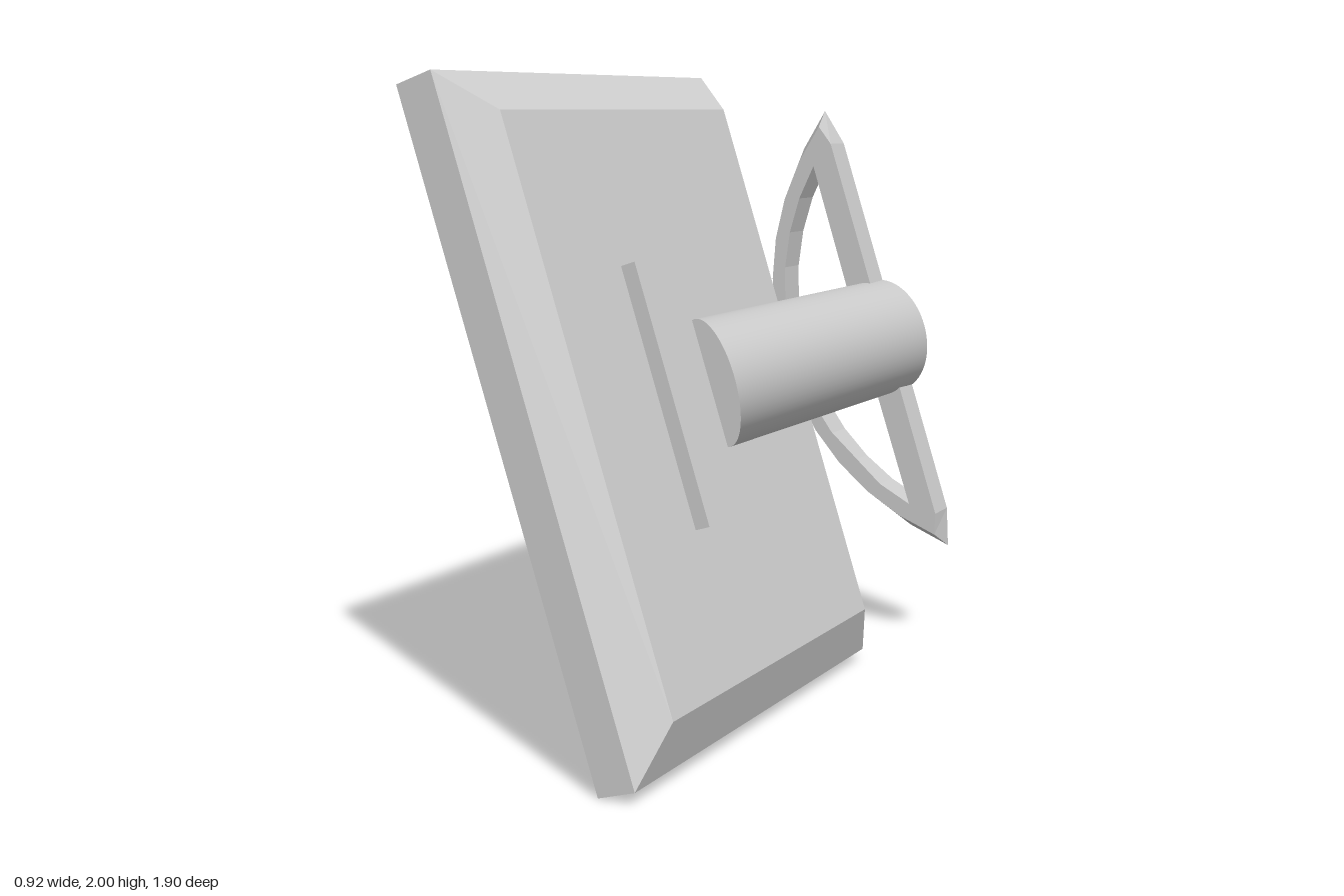
import * as THREE from 'three';

const material = new THREE.MeshStandardMaterial({ color: 0xcccccc });

// Everything is built upright (screen facing -x) and then tilted as a whole.
const TILT = THREE.MathUtils.degToRad(18.2);

function addMesh(parent, name, geometry) {
  const mesh = new THREE.Mesh(geometry, material);
  mesh.name = name;
  parent.add(mesh);
  return mesh;
}

function addBox(parent, name, [x0, x1], [y0, y1], [z0, z1]) {
  const mesh = addMesh(parent, name, new THREE.BoxGeometry(x1 - x0, y1 - y0, z1 - z0));
  mesh.position.set((x0 + x1) / 2, (y0 + y1) / 2, (z0 + z1) / 2);
}

// Skins a run of rectangles [x, y0, y1, z0, z1] and caps both ends.
function loftRectangles(rects) {
  const rings = rects.map(([x, y0, y1, z0, z1]) =>
    [[x, y0, z0], [x, y1, z0], [x, y1, z1], [x, y0, z1]]);
  const points = [];
  const quad = (a, b, c, d) => points.push(...a, ...b, ...c, ...a, ...c, ...d);
  for (let i = 0; i < rings.length - 1; i++) {
    for (let j = 0; j < 4; j++) {
      const k = (j + 1) % 4;
      quad(rings[i][j], rings[i][k], rings[i + 1][k], rings[i + 1][j]);
    }
  }
  quad(...[...rings[0]].reverse());
  quad(...rings[rings.length - 1]);
  const geometry = new THREE.BufferGeometry();
  geometry.setAttribute('position', new THREE.Float32BufferAttribute(points, 3));
  geometry.computeVertexNormals();
  return geometry;
}

// Points on a circular arc that bulges towards -x.
function arcPoints(centreX, radius, from, to, steps) {
  const a = Math.asin(from / radius), b = Math.asin(to / radius);
  return Array.from({ length: steps + 1 }, (_, i) => {
    const t = a + (b - a) * i / steps;
    return new THREE.Vector2(centreX - radius * Math.cos(t), radius * Math.sin(t));
  });
}

// D-shaped wall bracket with two windows and a flared outer rim.
function bracketGeometry() {
  const centreX = 1.1205, radius = 1.0005;
  const shape = new THREE.Shape([
    new THREE.Vector2(0.572, -0.68),
    new THREE.Vector2(0.572, 0.68),
    ...arcPoints(centreX, radius, 0.812, -0.812, 12),
  ]);
  for (const side of [1, -1]) {
    const window = [
      new THREE.Vector2(0.48, 0.1),
      ...arcPoints(1.045, 0.84, 0.625, 0.19, 4),
      new THREE.Vector2(0.4, 0.07),
    ];
    window.forEach((p) => { p.y *= side; });
    shape.holes.push(new THREE.Path(window));
  }
  const geometry = new THREE.ExtrudeGeometry(shape, { depth: 0.11, bevelEnabled: false });
  // Pull the curved rim inwards on the side nearest the display.
  const pos = geometry.attributes.position;
  for (let i = 0; i < pos.count; i++) {
    const x = pos.getX(i), y = pos.getY(i);
    const onRim = Math.abs(Math.hypot(x - centreX, y) - radius) < 0.003;
    if (onRim && pos.getZ(i) > 0.05) {
      pos.setX(i, 0.546 + (x - 0.536) * 0.933);
      pos.setY(i, y * 0.925);
    }
  }
  geometry.computeVertexNormals();
  return geometry;
}

// Oval arm: its inner side runs straight, its outer side widens to the back.
function armGeometry() {
  const length = 1.18;
  const geometry = new THREE.CylinderGeometry(1, 1, length, 64);
  geometry.rotateX(Math.PI / 2);
  const pos = geometry.attributes.position;
  for (let i = 0; i < pos.count; i++) {
    const halfWidth = THREE.MathUtils.lerp(0.08, 0.147, 0.5 - pos.getZ(i) / length);
    pos.setX(i, 0.386 + halfWidth * (1 + pos.getX(i)));
    pos.setY(i, 0.972 + 0.202 * pos.getY(i));
  }
  return geometry.translate(0, 0, -0.361);
}

export function createModel() {
  const model = new THREE.Group();
  model.name = 'wallDisplay';
  const tilted = new THREE.Group();
  tilted.name = 'tiltedAssembly';
  tilted.rotation.z = TILT;
  tilted.position.x = 0.006;
  model.add(tilted);

  // Housing: sunken screen with straight walls, front frame, rim, chamfered back
  addMesh(tilted, 'displayHousing', loftRectangles([
    [0.267, 0.115, 1.837, -0.47, 0.865],
    [0.17, 0.115, 1.837, -0.47, 0.865],
    [0.17, -0.055, 2.007, -0.555, 0.95],
    [0.297, -0.055, 2.007, -0.555, 0.95],
    [0.408, 0.097, 1.856, -0.44, 0.84],
  ]));

  // Control strip along one edge, with its button
  addBox(tilted, 'sideStrip', [0.195, 0.268], [0.126, 1.828], [-0.655, -0.55]);
  const button = addMesh(tilted, 'button', new THREE.CylinderGeometry(0.022, 0.022, 0.045, 16));
  button.rotation.z = Math.PI / 2;
  button.position.set(0.18, 0.703, -0.6);

  // Mounting plate, arm and wall bracket
  addBox(tilted, 'mountingPlate', [0.4, 0.457], [0.566, 1.376], [-0.033, 0.457]);
  addMesh(tilted, 'arm', armGeometry());
  addMesh(tilted, 'wallBracket', bracketGeometry()).position.set(0, 0.997, -0.95);

  return model;
}
